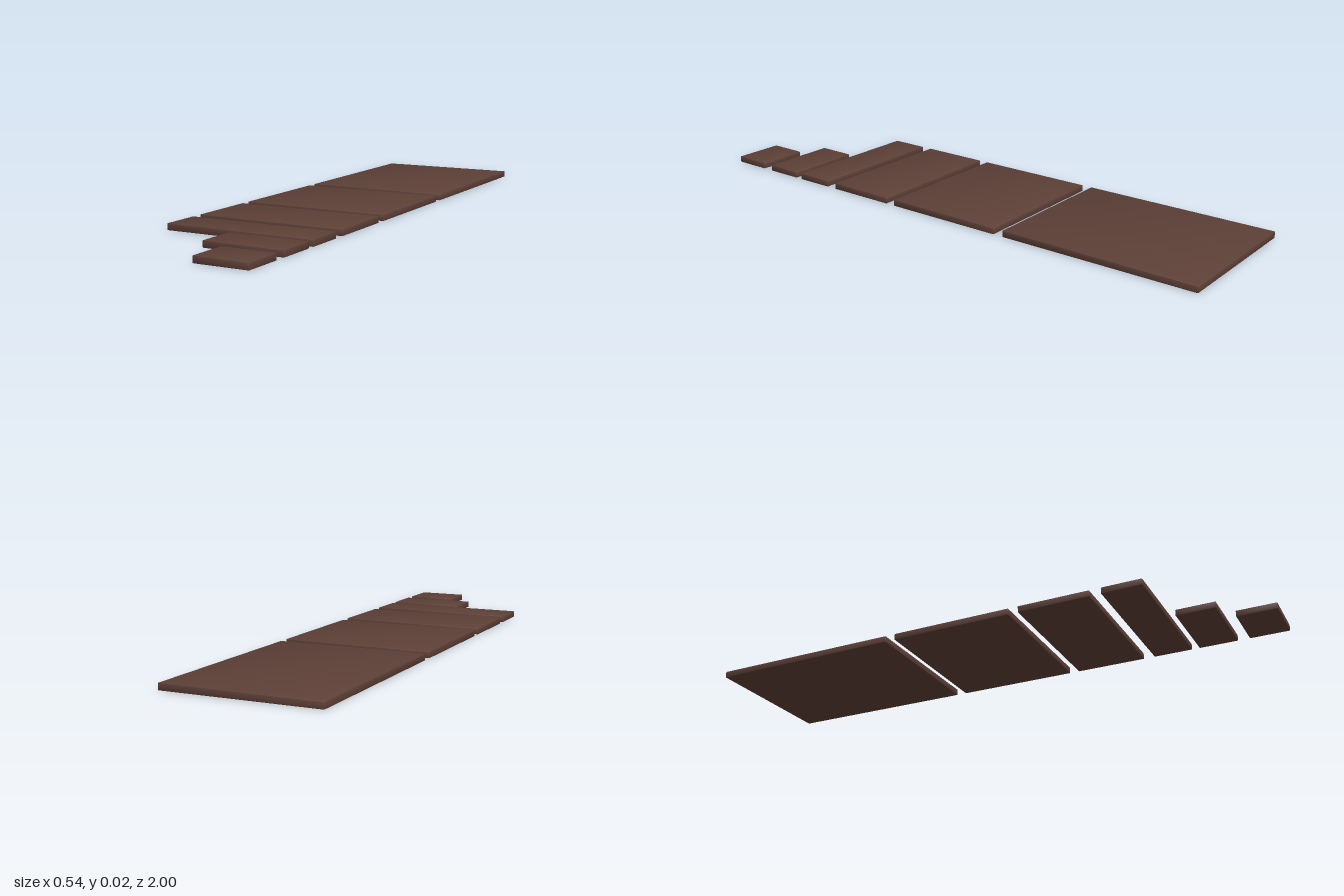
import * as THREE from 'three';
import { RoundedBoxGeometry } from 'three/addons/geometries/RoundedBoxGeometry.js';

const THICKNESS = 0.023;
const BEVEL = 0.002;
const RIGHT_EDGE = -0.27;
const LEFT_EDGE = 0.27;

// Thin slab with a fine bevel; normals lean softly towards each corner
function slabGeometry(width, depth) {
  const geometry = new RoundedBoxGeometry(width, THICKNESS, depth, 1, BEVEL);
  const { position, normal } = geometry.attributes;
  const p = new THREE.Vector3();
  const n = new THREE.Vector3();
  const lean = 0.3;
  for (let i = 0; i < position.count; i++) {
    p.fromBufferAttribute(position, i);
    n.fromBufferAttribute(normal, i);
    n.x += lean * Math.sign(p.x);
    n.y += lean * Math.sign(p.y);
    n.z += lean * Math.sign(p.z);
    n.normalize();
    normal.setXYZ(i, n.x, n.y, n.z);
  }
  return geometry;
}

export function createModel() {
  const model = new THREE.Group();
  model.name = 'slabPath';

  const brown = new THREE.MeshStandardMaterial({ color: 0x5d4037 });
  brown.name = 'dark brown';

  // Slabs from back to front: name, back z, front z, right edge x
  const slabs = [
    ['largeSlab', -1, -0.295, RIGHT_EDGE],
    ['mediumSlab', -0.258, 0.183, RIGHT_EDGE],
    ['shortSlab', 0.218, 0.473, RIGHT_EDGE],
    ['narrowSlab', 0.513, 0.653, RIGHT_EDGE],
    ['halfSlab', 0.68, 0.819, -0.013],
    ['endSlab', 0.86, 1, 0.083],
  ];

  for (const [name, back, front, right] of slabs) {
    const slab = new THREE.Mesh(slabGeometry(LEFT_EDGE - right, front - back), brown);
    slab.name = name;
    slab.position.set((LEFT_EDGE + right) / 2, THICKNESS / 2, (back + front) / 2);
    model.add(slab);
  }

  return model;
}
